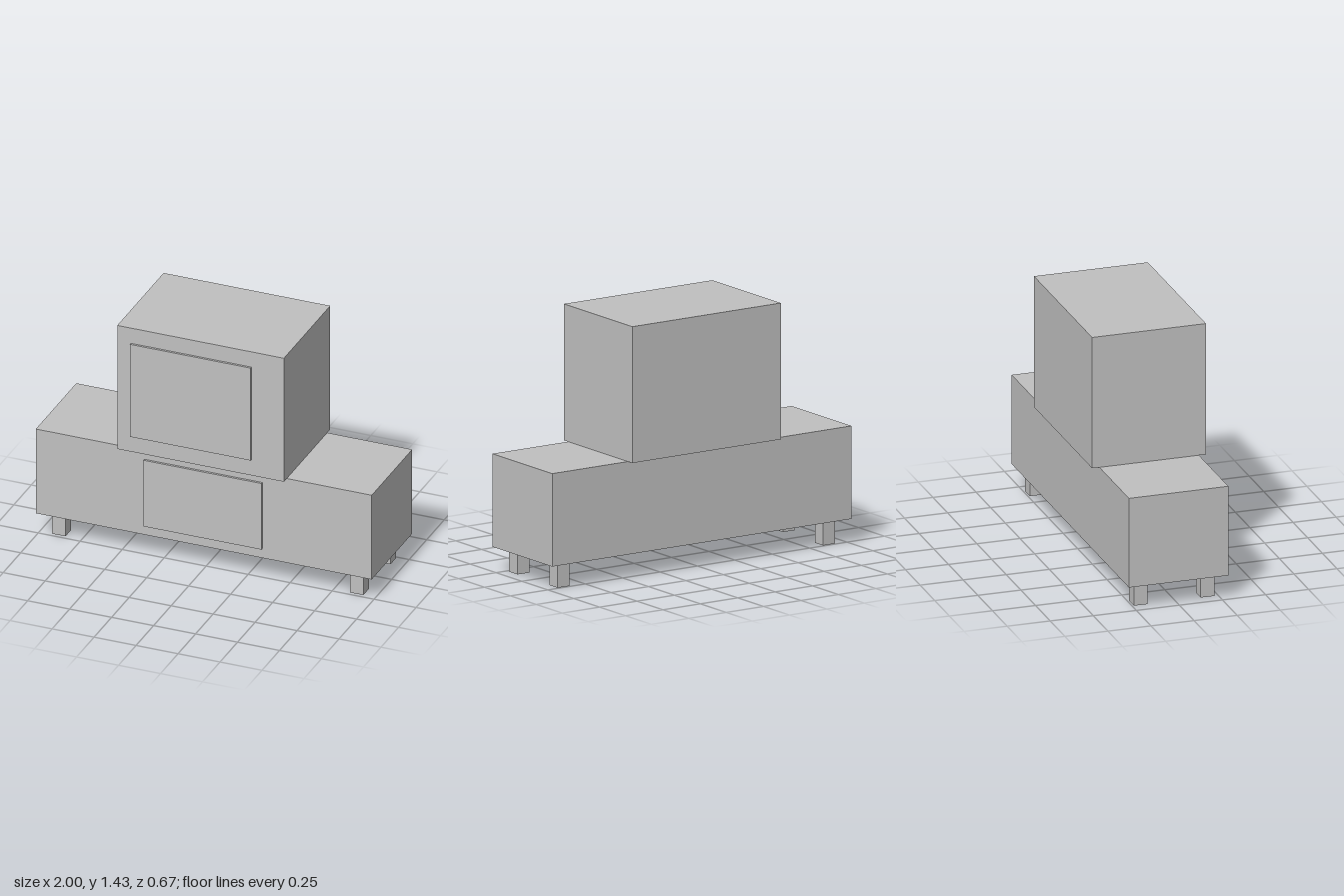
import * as THREE from 'three';

export function createModel() {
  const model = new THREE.Group();
  model.name = 'televisionOnStand';

  const grey = new THREE.MeshStandardMaterial({ color: 0xc0c0c0 });
  grey.name = 'plain grey';

  // Adds a box spanning the given [min, max] range on each axis
  function addBox(name, [x0, x1], [y0, y1], [z0, z1], parent = model) {
    const mesh = new THREE.Mesh(new THREE.BoxGeometry(x1 - x0, y1 - y0, z1 - z0), grey);
    mesh.position.set((x0 + x1) / 2, (y0 + y1) / 2, (z0 + z1) / 2);
    mesh.name = name;
    parent.add(mesh);
  }

  // Low cabinet with a raised door panel
  const stand = new THREE.Group();
  stand.name = 'stand';
  model.add(stand);
  addBox('cabinet', [-1, 1], [0.14, 0.665], [-0.293, 0.284], stand);
  addBox('cabinetDoor', [-0.353, 0.349], [0.198, 0.61], [0.284, 0.297], stand);

  // Four square legs
  for (const [side, x] of [['right', -0.887], ['left', 0.887]]) {
    for (const [end, z] of [['Front', 0.188], ['Back', -0.2]]) {
      addBox(`${side}${end}Leg`, [x - 0.04, x + 0.04], [0, 0.14], [z - 0.04, z + 0.04], stand);
    }
  }

  // Boxy television with its screen offset to one side
  const television = new THREE.Group();
  television.name = 'television';
  model.add(television);
  addBox('casing', [-0.498, 0.494], [0.665, 1.435], [-0.336, 0.325], television);
  addBox('screen', [-0.417, 0.302], [0.764, 1.34], [0.325, 0.338], television);

  return model;
}
